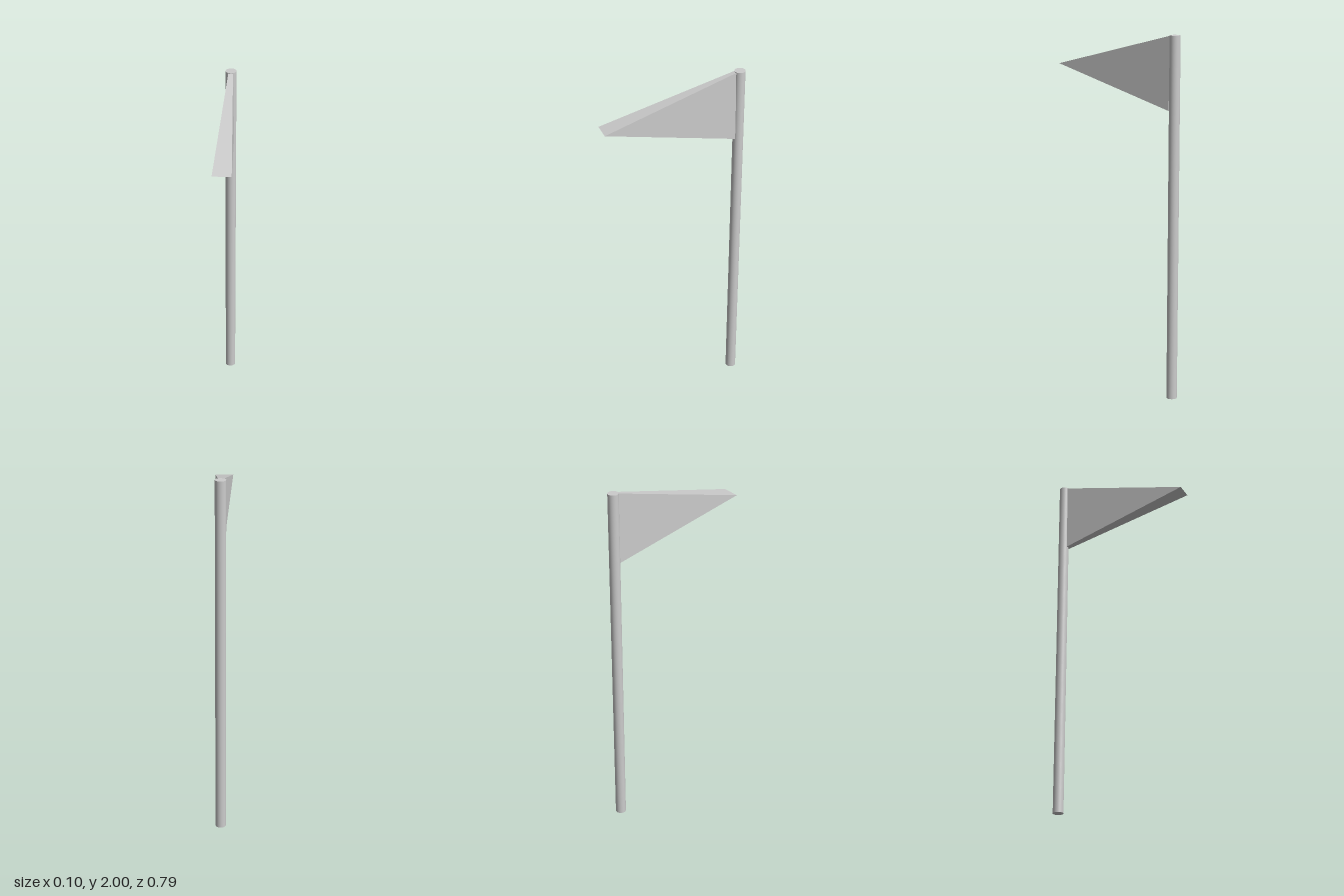
import * as THREE from 'three';

const POLE_Z = -0.367;
const POLE_R = 0.029;
const HOIST_Z = -0.343; // pole-side edge, just inside the pole surface
const TIP_Z = 0.396;

// Triangular pennant that thickens from the pole towards its tip
function pennantGeometry() {
  const outline = new THREE.Shape([
    new THREE.Vector2(HOIST_Z, 1.603),
    new THREE.Vector2(TIP_Z, 1.8),
    new THREE.Vector2(HOIST_Z, 1.997),
  ]);
  const geometry = new THREE.ExtrudeGeometry(outline, { depth: 1, bevelEnabled: false });
  geometry.translate(0, 0, -0.5).rotateY(-Math.PI / 2);

  // Set the thickness at each corner: [right side, left side]
  const position = geometry.attributes.position;
  for (let i = 0; i < position.count; i++) {
    let sides = [-0.05, 0.05];
    if (position.getZ(i) < 0) sides = position.getY(i) > 1.8 ? [-0.013, 0.012] : [-0.011, 0.019];
    position.setX(i, position.getX(i) < 0 ? sides[0] : sides[1]);
  }
  geometry.computeVertexNormals();
  return geometry;
}

export function createModel() {
  const model = new THREE.Group();
  model.name = 'pennantOnPole';

  // Round upright pole
  const pole = new THREE.Mesh(
    new THREE.CylinderGeometry(POLE_R, POLE_R, 2, 32),
    new THREE.MeshStandardMaterial({ color: 0xcccccc })
  );
  pole.name = 'pole';
  pole.position.set(0, 1, POLE_Z);
  model.add(pole);

  // Flag
  const flag = new THREE.Mesh(
    pennantGeometry(),
    new THREE.MeshStandardMaterial({ color: 0xcccccc, flatShading: true })
  );
  flag.name = 'flag';
  model.add(flag);

  return model;
}
